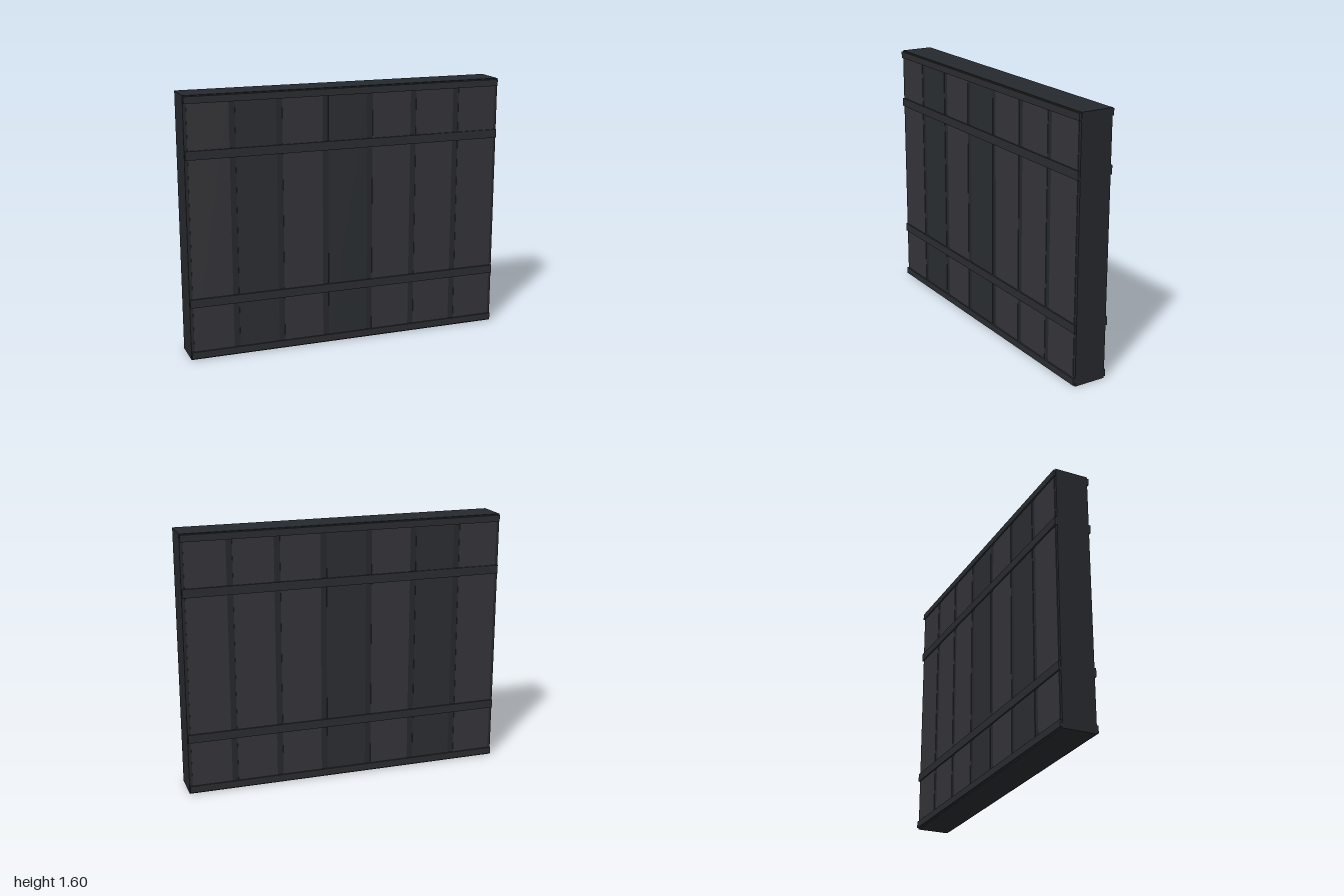
import * as THREE from 'three';

export function createModel() {
  const group = new THREE.Group();
  const paint = (color) => new THREE.MeshStandardMaterial({ color });
  const coreMat = paint(0x25282c);
  const bandMat = paint(0x292c30);
  const lightMat = paint(0x343439);
  const darkMat = paint(0x2a2d31);

  function box(name, w, h, d, x, y, z, material) {
    const mesh = new THREE.Mesh(new THREE.BoxGeometry(w, h, d), material);
    mesh.name = name;
    mesh.position.set(x, y, z);
    group.add(mesh);
  }

  // solid wall body
  box('wallCore', 2, 1.6, 0.204, 0, 0.8, 0, coreMat);

  // seven vertical panels per face, dark joints between them
  const dark = [1, 3];
  for (const side of [1, -1]) {
    for (let i = 0; i < 7; i++) {
      const material = dark.includes(i) ? darkMat : lightMat;
      box('panel', 0.248, 1.56, 0.008, (i - 3) * 0.2857, 0.8, side * 0.101, material);
    }

    // horizontal rails: bottom, lower, upper, top
    for (const [bottom, top] of [[0.008, 0.05], [0.33, 0.382], [1.225, 1.278], [1.553, 1.594]]) {
      box('rail', 1.994, top - bottom, 0.02, 0, (top + bottom) / 2, side * 0.104, bandMat);
    }
  }
  return group;
}
